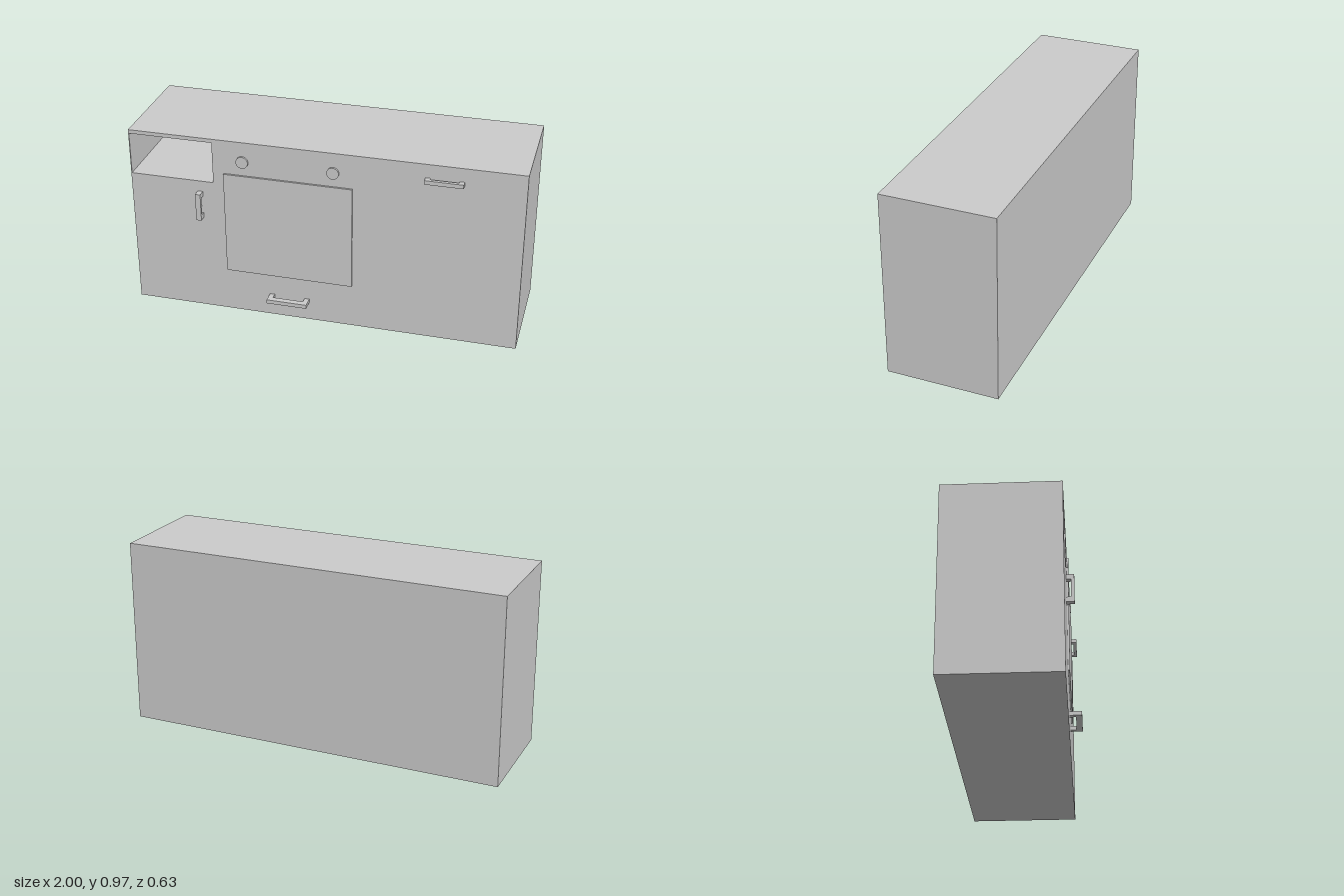
import * as THREE from 'three';

const material = new THREE.MeshStandardMaterial({ color: 0xcccccc, flatShading: true });
const FRONT = 0.257, BACK = -0.317, HEIGHT = 0.97, BACK_WALL = 0.02;

function add(parent, name, geometry, x = 0, y = 0, z = 0) {
  const mesh = new THREE.Mesh(geometry, material);
  mesh.name = name;
  mesh.position.set(x, y, z);
  parent.add(mesh);
  return mesh;
}

function polygon(points, Type = THREE.Shape) {
  const shape = new Type(points.map(([x, y]) => new THREE.Vector2(x, y)));
  shape.closePath();
  return shape;
}

// U-shaped pull: length along x, reaching out along +z, thickness along y
function handleGeometry(length, reach, thickness, post, bar) {
  const h = length / 2, inner = h - post, gap = reach - bar;
  const outline = polygon([
    [-h, 0], [-inner, 0], [-inner, -gap], [inner, -gap],
    [inner, 0], [h, 0], [h, -reach], [-h, -reach],
  ]);
  const geometry = new THREE.ExtrudeGeometry(outline, { depth: thickness, bevelEnabled: false });
  geometry.translate(0, 0, -thickness / 2);
  return geometry.rotateX(-Math.PI / 2);
}

export function createModel() {
  const group = new THREE.Group();
  group.name = 'kitchenCounter';

  // Cabinet body with an open niche in its upper corner
  const face = polygon([[-1, 0], [1, 0], [1, HEIGHT], [-1, HEIGHT]]);
  face.holes.push(polygon([[-0.996, 0.73], [-0.996, 0.95], [-0.562, 0.95], [-0.562, 0.73]], THREE.Path));
  const depth = FRONT - BACK - BACK_WALL;
  add(group, 'cabinetBody', new THREE.ExtrudeGeometry(face, { depth, bevelEnabled: false }), 0, 0, BACK + BACK_WALL);
  add(group, 'cabinetBack', new THREE.BoxGeometry(2, HEIGHT, BACK_WALL), 0, HEIGHT / 2, BACK + BACK_WALL / 2);

  // Oven door panel
  add(group, 'ovenDoor', new THREE.BoxGeometry(0.66, 0.553, 0.01), -0.175, 0.513, FRONT + 0.005);

  // Round control knobs
  for (const x of [-0.406, 0.056]) {
    const knob = new THREE.CylinderGeometry(0.031, 0.031, 0.01, 32).rotateX(Math.PI / 2);
    add(group, 'controlKnob', knob, x, 0.864, FRONT + 0.005);
  }

  // Pull handles
  add(group, 'drawerHandle', handleGeometry(0.19, 0.031, 0.021, 0.025, 0.017), 0.606, 0.888, FRONT);
  add(group, 'lowerHandle', handleGeometry(0.21, 0.061, 0.021, 0.025, 0.03), -0.175, 0.11, FRONT);
  add(group, 'doorHandle', handleGeometry(0.147, 0.04, 0.027, 0.026, 0.016), -0.634, 0.599, FRONT)
    .rotation.z = Math.PI / 2;

  return group;
}
